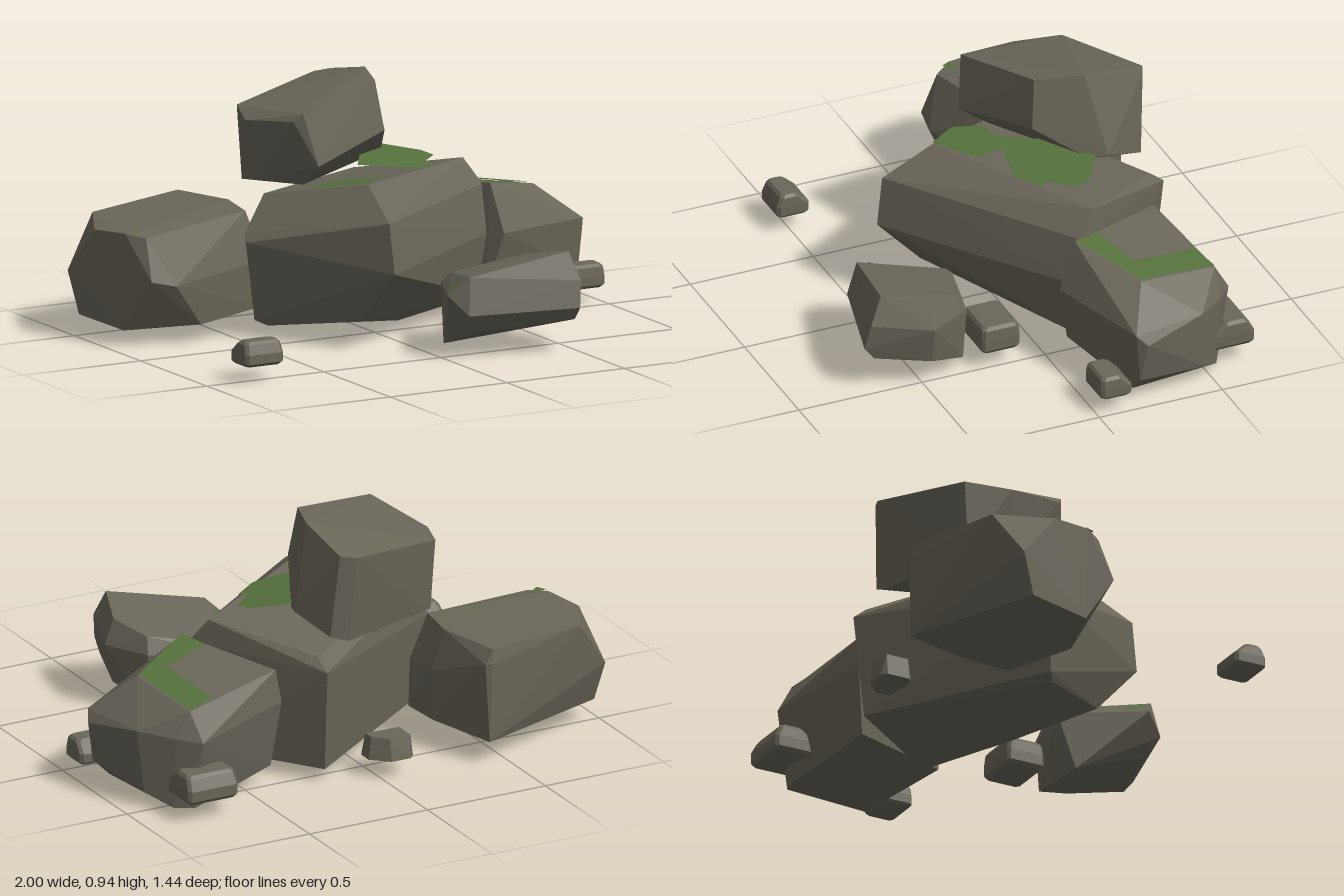
import * as THREE from 'three';
import { ConvexGeometry } from 'three/addons/geometries/ConvexGeometry.js';

const stone = new THREE.MeshStandardMaterial({ color: 0x6a665a });
stone.name = 'stone';
const moss = new THREE.MeshStandardMaterial({ color: 0x55703c, side: THREE.DoubleSide });
moss.name = 'moss';

// Faceted rock: the hull around a few corner points
function rock(name, points) {
  const mesh = new THREE.Mesh(new ConvexGeometry(points.map((p) => new THREE.Vector3(...p))), stone);
  mesh.name = name;
  return mesh;
}

// Small chamfered stone: rings of eight corners as [height, inset], the top cut back at front and rear
function pebble(name, x, z, w, d, y0, y1, cutFront, cutBack) {
  const points = [];
  const rings = [[0, 0.01, 0], [0.12, 0, 0], [0.5, 0, 0], [0.88, 0.004, 1], [1, 0.014, 1]];
  const c = 0.012;
  for (const [t, inset, cut] of rings) {
    const y = y0 + (y1 - y0) * t;
    const hx = w / 2 - inset;
    for (const sx of [-1, 1]) for (const sz of [-1, 1]) {
      const hz = d / 2 - inset - cut * (sz > 0 ? cutFront : cutBack);
      points.push([x + sx * (hx - c), y, z + sz * hz], [x + sx * hx, y, z + sz * (hz - c)]);
    }
  }
  return rock(name, points);
}

// Thin moss sheet: an outline in x, z draped on the height rule
function mossPatch(name, outline, height) {
  const geo = new THREE.ShapeGeometry(new THREE.Shape(outline.map(([x, z]) => new THREE.Vector2(x, -z))));
  const pos = geo.attributes.position;
  for (let i = 0; i < pos.count; i++) {
    const x = pos.getX(i), z = -pos.getY(i);
    pos.setXYZ(i, x, height(x, z), z);
  }
  geo.computeVertexNormals();
  const mesh = new THREE.Mesh(geo, moss);
  mesh.name = name;
  return mesh;
}

export function createModel() {
  const group = new THREE.Group();
  group.name = 'rockPile';

  // Boulders
  group.add(rock('centreBoulder', [
    [-0.13, 0.61, 0.18], [0.49, 0.575, -0.2], [0.22, 0.499, -0.55], [-0.36, 0.53, -0.2],
    [-0.15, 0.5, 0.375], [0.54, 0.48, -0.14], [0.21, 0.45, -0.61], [-0.47, 0.4, -0.15],
    [-0.14, 0.31, 0.4], [0.55, 0.3, -0.11], [-0.48, 0.37, -0.12],
    [-0.18, 0.1, 0.21], [0.53, 0.06, -0.14], [0.2, 0.05, -0.57], [-0.44, 0.07, -0.13], [-0.4, 0.05, -0.1],
    [0.1, 0.035, 0],
  ]));
  group.add(rock('topBoulder', [
    [-0.3, 0.86, -0.01], [0.08, 0.925, -0.14], [0.14, 0.935, -0.32], [0.13, 0.885, -0.56],
    [0.07, 0.875, -0.585], [-0.34, 0.82, -0.44], [-0.4, 0.8, -0.27], [-0.33, 0.83, -0.03],
    [-0.25, 0.66, 0.02], [0.11, 0.735, -0.12], [0.2, 0.61, -0.31], [0.225, 0.62, -0.38],
    [0.16, 0.56, -0.54], [0.08, 0.53, -0.54], [-0.33, 0.54, -0.42], [-0.35, 0.57, -0.25], [-0.25, 0.57, -0.1],
  ]));
  group.add(rock('leftBoulder', [
    [0.55, 0.49, -0.1], [0.82, 0.43, -0.25], [0.77, 0.39, -0.57], [0.37, 0.456, -0.5],
    [0.57, 0.31, -0.03], [0.98, 0.3, -0.16], [1, 0.26, -0.2], [0.93, 0.3, -0.45],
    [0.83, 0.29, -0.57], [0.75, 0.28, -0.635], [0.35, 0.33, -0.51],
    [0.97, 0.1, -0.18], [0.9, 0.03, -0.18], [0.91, 0.06, -0.47], [0.83, 0.01, -0.55], [0.75, 0, -0.57],
    [0.52, 0.07, -0.08], [0.38, 0.07, -0.48],
  ]));
  group.add(rock('frontBoulder', [
    [0.46, 0.385, 0.65], [0.08, 0.31, 0.58], [0.18, 0.26, 0.26], [0.46, 0.315, 0.33], [0.52, 0.345, 0.48],
    [0.47, 0.18, 0.72], [0.485, 0.28, 0.7], [0.06, 0.17, 0.61], [0.01, 0.24, 0.535], [0.155, 0.22, 0.225],
    [0.47, 0.25, 0.305], [0.56, 0.25, 0.475], [0.53, 0.1, 0.47],
    [0.13, 0, 0.29], [0.3, 0.02, 0.3], [0.47, 0.05, 0.32], [0.11, 0.1, 0.57], [0.47, 0.13, 0.68],
  ]));
  group.add(rock('rightBoulder', [
    [-0.86, 0.435, -0.61], [-0.44, 0.455, -0.71], [-0.37, 0.46, -0.45], [-0.4, 0.455, -0.27],
    [-0.93, 0.43, -0.24], [-0.88, 0.42, -0.17], [-1, 0.24, -0.55], [-0.97, 0.42, -0.4],
    [-0.405, 0.4, -0.71], [-0.325, 0.3, -0.44], [-0.43, 0.4, -0.72],
    [-0.89, 0.265, -0.11], [-0.79, 0.24, -0.1], [-0.34, 0.27, -0.24],
    [-0.93, 0.06, -0.25], [-0.65, 0.07, -0.16], [-0.33, 0.09, -0.25], [-0.98, 0.08, -0.5],
    [-0.42, 0.09, -0.715], [-0.33, 0.1, -0.44],
  ]));

  // Scattered pebbles: x, z, width, depth, bottom, top, front cut, rear cut
  [
    [-0.78, 0.49, 0.16, 0.13, 0.062, 0.155, 0.01, 0.035],
    [0.41, 0.18, 0.2, 0.155, 0.062, 0.17, 0, 0],
    [0.915, -0.075, 0.16, 0.125, 0.062, 0.152, 0, 0.03],
    [0.74, -0.615, 0.21, 0.175, 0.07, 0.178, 0.045, 0.018],
  ].forEach((p, i) => group.add(pebble(`pebble${i + 1}`, ...p)));
  group.add(rock('backPebble', [
    [-0.13, 0.07, -0.56], [-0.13, 0.07, -0.65], [-0.11, 0.07, -0.67], [-0.03, 0.07, -0.67],
    [0.035, 0.07, -0.61], [0.035, 0.07, -0.55], [-0.11, 0.07, -0.54],
    [-0.12, 0.155, -0.56], [-0.12, 0.155, -0.65], [-0.03, 0.155, -0.655], [0.02, 0.155, -0.6], [0.02, 0.155, -0.555],
  ]));

  // Moss on the boulders
  const centreTop = (x, z) => 0.617 + 0.053 * (x + 0.13) + 0.178 * (z - 0.18);
  const leftTop = (x, z) => 0.496 - 0.14 * (x - 0.55) + 0.147 * (z + 0.1);
  group.add(mossPatch('centreMoss',
    [[-0.25, 0.05], [-0.13, 0.18], [0.02, 0.06], [-0.03, -0.02], [-0.05, -0.1], [-0.25, -0.08]], centreTop));
  group.add(mossPatch('ledgeMoss',
    [[-0.05, -0.04], [0.2, -0.01], [0.3, -0.08], [0.27, -0.1], [0.36, -0.19], [0.34, -0.25], [0.22, -0.33],
      [0.05, -0.2]],
    (x, z) => 0.64 - 0.12 * x - 0.1 * (z + 0.15)));
  group.add(mossPatch('leftMoss',
    [[0.66, -0.54], [0.77, -0.57], [0.815, -0.25], [0.55, -0.1], [0.51, -0.21], [0.7, -0.27]], leftTop));
  group.add(mossPatch('frontMoss', [[0.02, 0.53], [0.075, 0.53], [0.06, 0.44]],
    (x, z) => 0.249 + 0.737 * (x - 0.01) + 0.41 * (z - 0.535)));
  group.add(mossPatch('rightMoss', [[-0.92, -0.24], [-0.9, -0.2], [-0.85, -0.24]], () => 0.439));
  return group;
}
